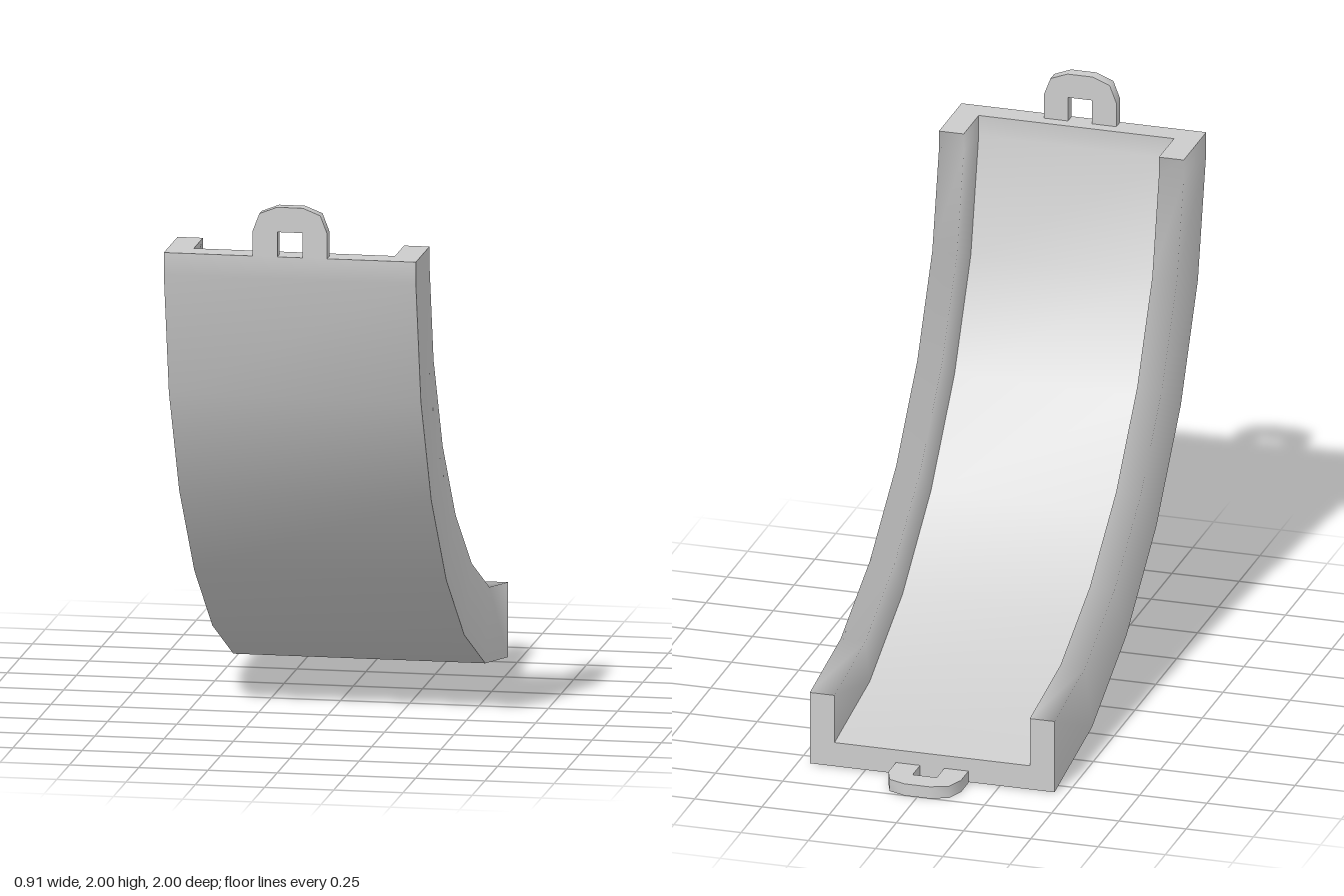
import * as THREE from 'three';
import { toCreasedNormals } from 'three/addons/utils/BufferGeometryUtils.js';

// Side curves of the chute as [z, y], from the upper end to the lower end
const OUTER = [[1, 1.82], [1, 1.74], [0.9, 1.29], [0.695, 0.89], [0.4, 0.54], [0.045, 0.265], [-0.37, 0.075], [-0.82, 0.003]];
const INNER = [[0.73, 1.82], [0.73, 1.75], [0.65, 1.39], [0.47, 1.04], [0.215, 0.735], [-0.1, 0.495], [-0.45, 0.335], [-0.82, 0.275]];
const LAST = OUTER.length - 1;

// U-shaped section as [x, t]; t runs from the outer curve (0) to the inner curve (1)
const W = 0.455, I = 0.363, F = 1 / 3;
const SECTION = [[W, 0], [W, 1], [I, 1], [I, F], [-I, F], [-I, 1], [-W, 1], [-W, 0]];

function point([x, t], i) {
  const z = THREE.MathUtils.lerp(OUTER[i][0], INNER[i][0], t);
  const y = THREE.MathUtils.lerp(OUTER[i][1], INNER[i][1], t);
  return [x, y, z];
}

function buildGeometry(points, index) {
  const geo = new THREE.BufferGeometry();
  geo.setAttribute('position', new THREE.Float32BufferAttribute(points.flat(), 3));
  geo.setIndex(index);
  geo.computeVertexNormals();
  return geo;
}

// Sweeps part of the section along the curves with smooth normals
function sweep(profile) {
  const n = profile.length, points = [], index = [];
  for (let i = 0; i <= LAST; i++) {
    for (let j = 0; j < n; j++) {
      points.push(point(profile[j], i));
      if (i === LAST || j === n - 1) continue;
      const a = i * n + j, b = a + n;
      index.push(a, b, a + 1, a + 1, b, b + 1);
    }
  }
  return buildGeometry(points, index);
}

// Flat U-shaped end face
function endFace(i, flip) {
  const tris = [[0, 1, 2], [0, 2, 3], [0, 3, 4], [0, 4, 7], [4, 5, 6], [4, 6, 7]];
  const index = tris.flatMap(([a, b, c]) => (flip ? [a, c, b] : [a, b, c]));
  return buildGeometry(SECTION.map((p) => point(p, i)), index);
}

// Arched loop with a square opening at its base
function loopGeometry() {
  const shape = new THREE.Shape([
    [0.135, 0], [0.135, 0.09], [0.11, 0.155], [0.047, 0.18],
    [-0.047, 0.18], [-0.11, 0.155], [-0.135, 0.09], [-0.135, 0],
    [-0.045, 0], [-0.045, 0.09], [0.045, 0.09], [0.045, 0],
  ].map(([x, y]) => new THREE.Vector2(x, y)));
  const geo = new THREE.ExtrudeGeometry(shape, { depth: 0.045, bevelEnabled: false });
  return toCreasedNormals(geo, 0.9);
}

export function createModel() {
  const model = new THREE.Group();
  model.name = 'curvedChute';
  const material = new THREE.MeshStandardMaterial({ color: 0xcccccc });
  const add = (name, geo) => {
    const mesh = new THREE.Mesh(geo, material);
    mesh.name = name;
    model.add(mesh);
    return mesh;
  };

  // Channel
  add('leftWall', sweep(SECTION.slice(0, 4)));
  add('floor', sweep(SECTION.slice(3, 5)));
  add('rightWall', sweep(SECTION.slice(4, 8)));
  add('underside', sweep([SECTION[7], SECTION[0]]));
  add('upperEnd', endFace(0, false));
  add('lowerEnd', endFace(LAST, true));

  // Connecting loops at both ends
  add('upperLoop', loopGeometry()).position.set(0, 1.82, 0.955);
  const lowerLoop = add('lowerLoop', loopGeometry());
  lowerLoop.rotation.x = -Math.PI / 2;
  lowerLoop.position.set(0, 0, -0.82);

  return model;
}
